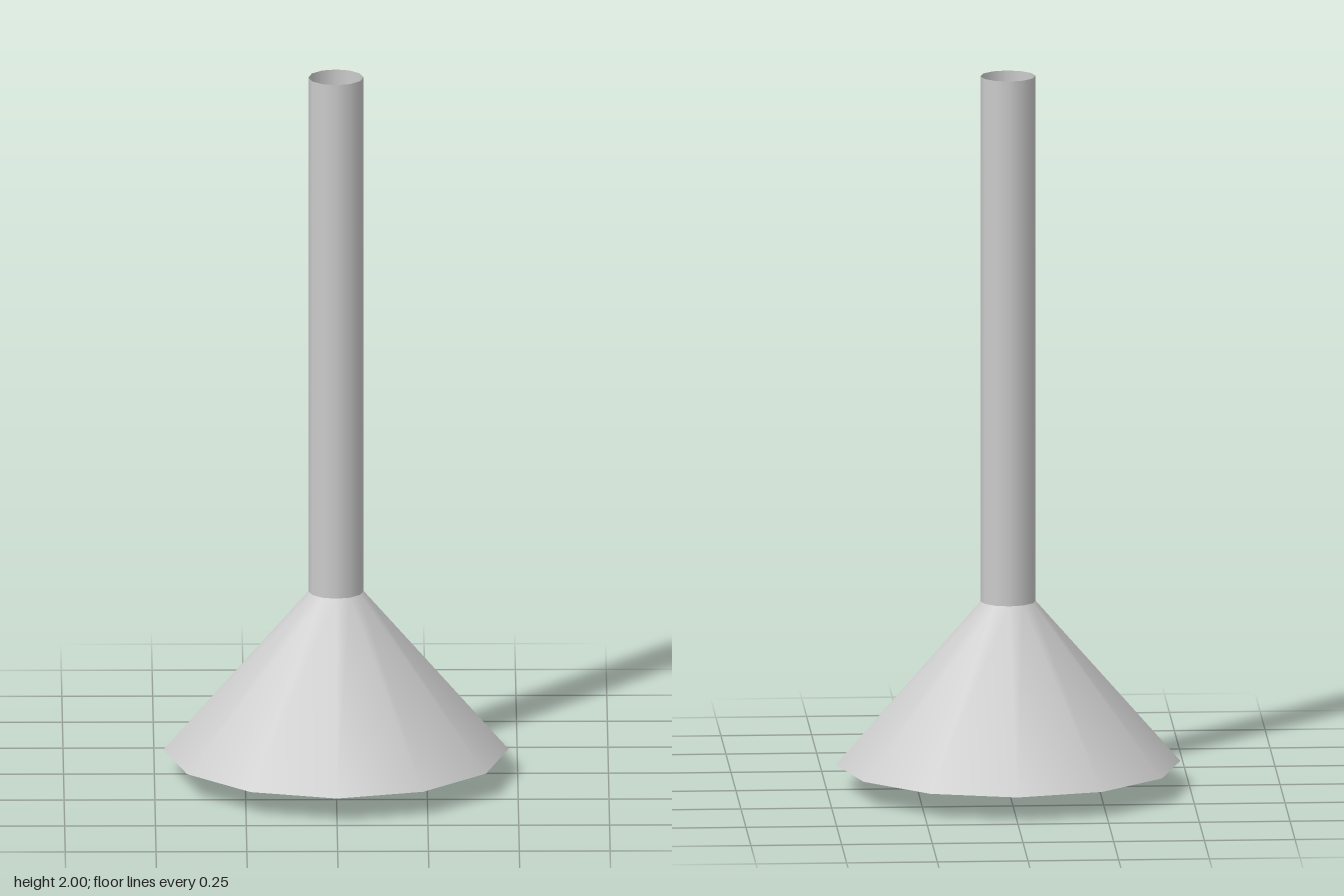
import * as THREE from 'three';

const SIDES = 12;
const POLE_R = 0.076, RIM_R = 0.475, RIM_INNER = 0.41;
const RIM_Y = 0.07, NECK_Y = 0.525, TOP_Y = 2, BULB_R = 0.185;

export function createModel() {
  const model = new THREE.Group();
  model.name = 'pendantLamp';
  const solid = new THREE.MeshStandardMaterial({ color: 0xcccccc });
  const thin = new THREE.MeshStandardMaterial({ color: 0xcccccc, side: THREE.DoubleSide });
  const inward = new THREE.MeshStandardMaterial({ color: 0xcccccc, side: THREE.BackSide });

  const add = (parent, name, geometry, material, y) => {
    const mesh = new THREE.Mesh(geometry, material);
    mesh.name = name;
    mesh.position.y = y;
    parent.add(mesh);
  };
  // Open twelve-sided cone or tube between two heights
  const addWall = (parent, name, rTop, rBottom, y0, y1, material) =>
    add(parent, name, new THREE.CylinderGeometry(rTop, rBottom, y1 - y0, SIDES, 1, true), material, (y0 + y1) / 2);

  // Hollow hanging pole, open at the top
  addWall(model, 'pole', POLE_R, POLE_R, NECK_Y, TOP_Y, thin);

  // Thick conical shade: outer wall, closed neck, flat rim, inner wall and ceiling
  const shade = new THREE.Group();
  shade.name = 'shade';
  model.add(shade);
  addWall(shade, 'shadeOuter', POLE_R, RIM_R, RIM_Y, NECK_Y, solid);
  add(shade, 'shadeNeck', new THREE.CircleGeometry(POLE_R, SIDES).rotateX(-Math.PI / 2), solid, NECK_Y);
  add(shade, 'shadeRim', new THREE.RingGeometry(RIM_INNER, RIM_R, SIDES).rotateX(Math.PI / 2), solid, RIM_Y);
  addWall(shade, 'shadeInner', 0.03, RIM_INNER, RIM_Y, 0.5, inward);
  add(shade, 'shadeCeiling', new THREE.CircleGeometry(0.03, SIDES).rotateX(Math.PI / 2), solid, 0.5);

  // Faceted round bulb resting on one of its corners
  const bulb = new THREE.IcosahedronGeometry(BULB_R, 1);
  bulb.rotateZ(-Math.atan(2 / (1 + Math.sqrt(5)))).rotateY(Math.PI * 0.75);
  add(model, 'bulb', bulb, solid, BULB_R);

  return model;
}
